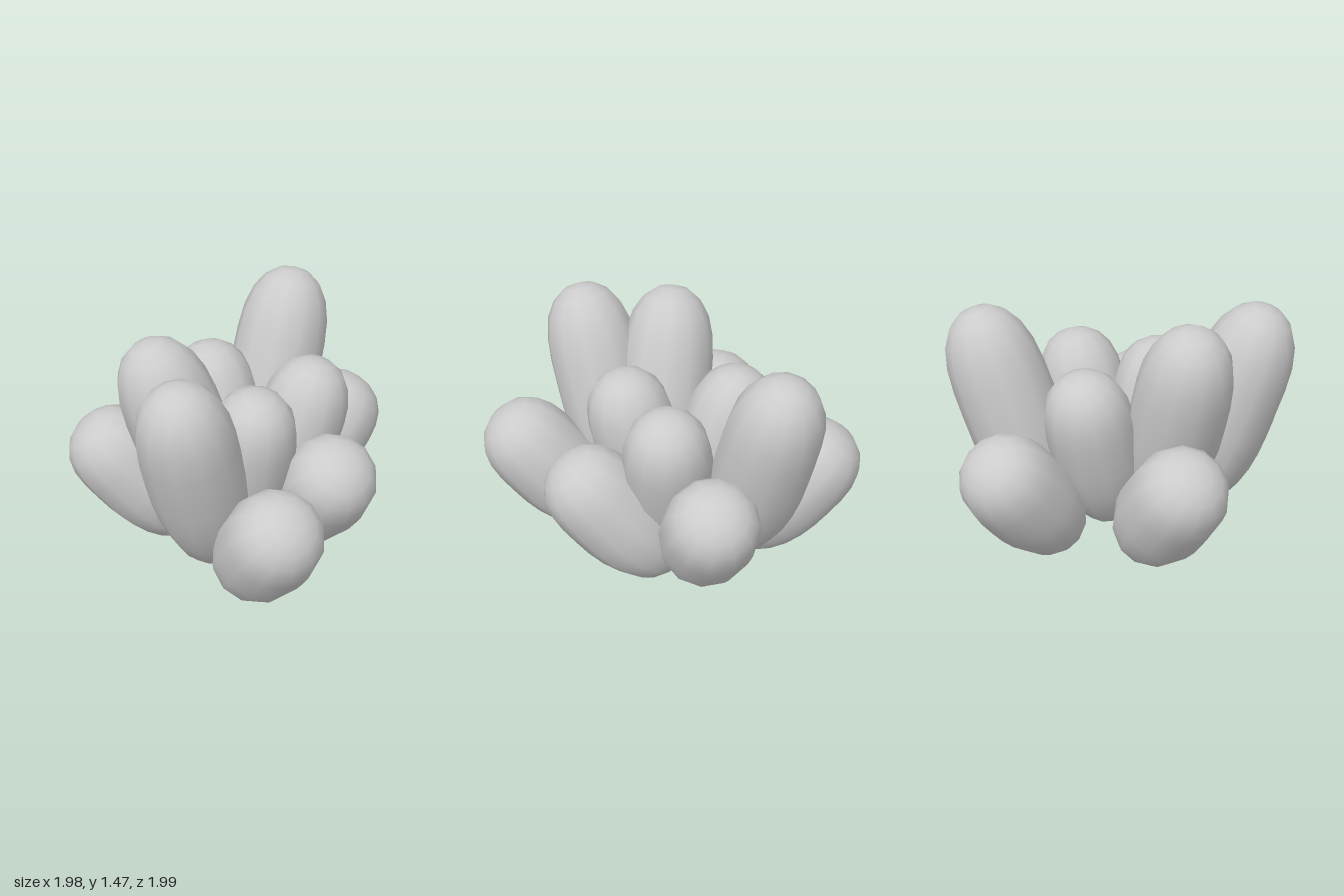
import * as THREE from 'three';

const material = new THREE.MeshStandardMaterial({ color: 0xcccccc, side: THREE.DoubleSide });

// Plump leaf: blunt round tip, narrow open base, standing on its local origin
function leafGeometry(length, radius) {
  const rings = 12;
  const sides = 12;
  const start = -0.95;
  const startAngle = Math.acos(start);
  const profile = [];
  for (let i = 0; i <= rings; i++) {
    const u = Math.cos(startAngle * (1 - i / rings));
    const r = i === rings ? 0 : radius * Math.sqrt(1 - Math.pow(Math.abs(u), u > 0 ? 4 : 2));
    profile.push(new THREE.Vector2(r, length * (u - start) / (1 - start)));
  }
  const geometry = new THREE.LatheGeometry(profile, sides);
  // Smooth shading across the pole
  for (let s = 0; s <= sides; s++) {
    geometry.attributes.normal.setXYZ(s * (rings + 1) + rings, 0, 1, 0);
  }
  return geometry;
}

// Leaf running from its base through the middle of its rounded tip
function addLeaf(group, name, base, cap, radius) {
  const from = new THREE.Vector3(...base);
  const axis = new THREE.Vector3(...cap).sub(from);
  const leaf = new THREE.Mesh(leafGeometry(axis.length() + 0.28, radius), material);
  leaf.position.copy(from);
  leaf.quaternion.setFromUnitVectors(new THREE.Vector3(0, 1, 0), axis.normalize());
  leaf.name = name;
  group.add(leaf);
}

export function createModel() {
  const model = new THREE.Group();
  model.name = 'succulent';

  // Each tier: leaf radius, base height, cap height, then [baseX, baseZ, capX, capZ]
  const tiers = [
    {
      name: 'outerLeaf', radius: 0.285, baseY: 0.07, capY: 0.62,
      leaves: [
        [0.29, 0.18, 0.095, 0.585],
        [-0.355, 0.31, -0.55, 0.71],
        [0.30, -0.01, 0.715, 0.13],
        [0.26, -0.30, 0.455, -0.715],
        [-0.20, -0.27, -0.515, -0.585],
      ],
    },
    {
      name: 'innerLeaf', radius: 0.265, baseY: 0.14, capY: 0.915,
      leaves: [
        [-0.11, 0.05, -0.16, 0.21],
        [0.12, 0.08, 0.325, 0.21],
        [0.04, -0.10, 0.10, -0.345],
      ],
    },
    {
      name: 'tallLeaf', radius: 0.285, baseY: 0.14, capY: 1.21,
      leaves: [
        [-0.38, 0.11, -0.73, 0.2],
        [0.36, -0.25, 0.715, -0.28],
        [-0.21, 0.02, -0.46, -0.22],
      ],
    },
  ];

  for (const { name, radius, baseY, capY, leaves } of tiers) {
    const tier = new THREE.Group();
    tier.name = name + 'Tier';
    leaves.forEach(([bx, bz, cx, cz], i) =>
      addLeaf(tier, name + (i + 1), [bx, baseY, bz], [cx, capY, cz], radius));
    model.add(tier);
  }
  return model;
}
